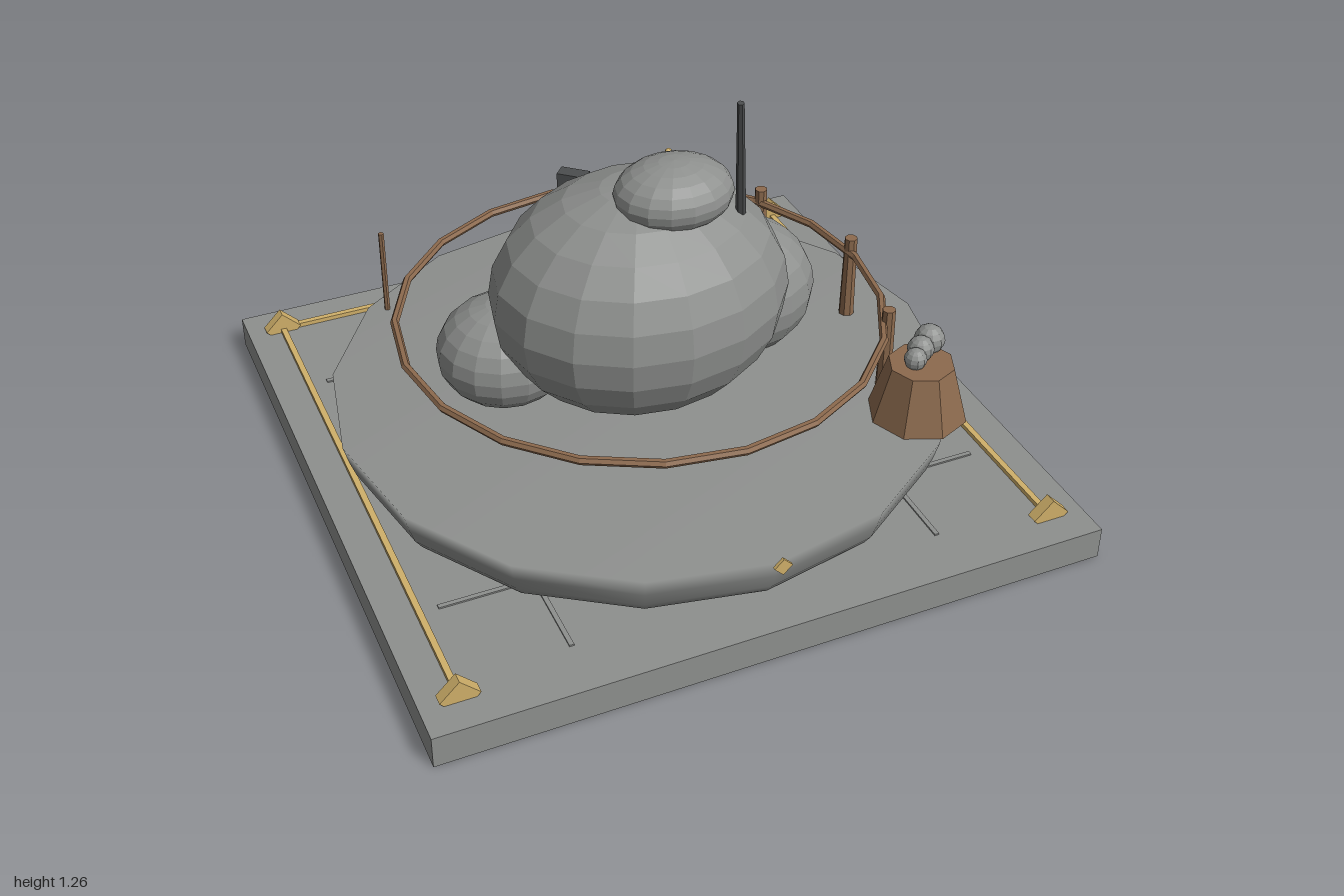
import * as THREE from 'three';

const mat = (name, color, flatShading = false) => {
  const m = new THREE.MeshStandardMaterial({ color, flatShading });
  m.name = name;
  return m;
};

export function createModel() {
  const stone = mat('stone grey', 0x8e908e);
  const rock = mat('faceted stone grey', 0x8e908e, true);
  const dark = mat('dark metal', 0x4c4e4f, true);
  const wood = mat('brown wood', 0x8c6a4e, true);
  const gold = mat('gold trim', 0xd0b06a, true);

  const model = new THREE.Group();
  model.name = 'stoneGarden';

  const add = (name, geometry, material, x = 0, y = 0, z = 0) => {
    const mesh = new THREE.Mesh(geometry, material);
    mesh.name = name;
    mesh.position.set(x, y, z);
    model.add(mesh);
    return mesh;
  };
  const blob = (name, [x, y, z], [rx, ry, rz], w = 16, h = 12) =>
    add(name, new THREE.SphereGeometry(1, w, h).scale(rx, ry, rz), rock, x, y, z);
  // Places a geometry built along y between two points
  const between = (name, a, b, makeGeometry, material) => {
    const p = new THREE.Vector3(...a), q = new THREE.Vector3(...b);
    const mesh = add(name, makeGeometry(p.distanceTo(q)), material);
    mesh.position.copy(p).add(q).multiplyScalar(0.5);
    mesh.quaternion.setFromUnitVectors(new THREE.Vector3(0, 1, 0), q.sub(p).normalize());
    return mesh;
  };

  // Square base with thin dark grooves
  add('base', new THREE.BoxGeometry(2, 0.1, 2), stone, 0, 0.05, 0);
  for (const s of [-1, 1]) {
    add('grooveAlongZ', new THREE.BoxGeometry(0.014, 0.006, 1.67), rock, s * 0.556, 0.102, 0);
    add('grooveAlongX', new THREE.BoxGeometry(1.67, 0.006, 0.014), rock, 0, 0.102, s * 0.556);
  }

  // Gold edge strips and diamond-shaped corner blocks
  for (const s of [-1, 1]) {
    add('sideStrip', new THREE.BoxGeometry(0.018, 0.014, 1.78), gold, s * 0.89, 0.107, 0);
    for (const t of [-1, 1]) {
      const corner = add('cornerBlock', new THREE.BoxGeometry(0.08, 0.08, 0.034), gold, s * 0.89, 0.112, t * 0.89);
      corner.rotation.z = Math.PI / 4;
    }
  }
  add('backStrip', new THREE.BoxGeometry(1.78, 0.014, 0.018), gold, 0, 0.107, -0.89);

  // Round dish with a flat top and curved underside
  const dishProfile = [[0, 0.11], [0.82, 0.11], [0.872, 0.125], [0.895, 0.16], [0.912, 0.21], [0.928, 0.27], [0, 0.27]];
  add('dish', new THREE.LatheGeometry(dishProfile.map(p => new THREE.Vector2(...p)), 16), stone);

  // Boulders
  blob('mainBoulder', [-0.025, 0.615, 0.05], [0.445, 0.355, 0.385]);
  blob('topBoulder', [0.048, 0.965, 0.125], [0.175, 0.1, 0.147]);
  blob('rightBoulder', [-0.39, 0.405, -0.1], [0.207, 0.165, 0.197]);
  blob('leftBoulder', [0.365, 0.42, -0.125], [0.255, 0.22, 0.235]);

  // Tapered rod leaning out of the top
  between('rod', [0.24, 0.87, 0.162], [0.197, 1.262, 0.226],
    l => new THREE.CylinderGeometry(0.01, 0.015, l, 6), dark);

  // Railing ring and its posts
  add('railing', new THREE.TorusGeometry(0.722, 0.013, 6, 20).rotateX(Math.PI / 2), wood, 0, 0.5, 0);
  for (const [x, z] of [[0.3, -0.66], [0.6, -0.41], [0.725, -0.037], [0.64, 0.35]]) {
    add('post', new THREE.CylinderGeometry(0.02, 0.024, 0.28, 8), wood, x, 0.407, z);
  }
  add('thinPost', new THREE.CylinderGeometry(0.009, 0.009, 0.45, 6), wood, -0.602, 0.327, -0.627);

  // Tub filled with pebbles
  add('tub', new THREE.CylinderGeometry(0.098, 0.148, 0.175, 8), wood, 0.673, 0.357, 0.495);
  for (const [x, y, z, r] of [[0.648, 0.467, 0.5, 0.034], [0.685, 0.47, 0.465, 0.04], [0.732, 0.472, 0.435, 0.046]]) {
    blob('pebble', [x, y, z], [r, r, r], 10, 8);
  }

  // Slats and block on the back of the main boulder
  for (const [a, b] of [
    [[0.155, 0.62, -0.31], [0.05, 0.53, -0.44]],
    [[0.07, 0.56, -0.32], [0, 0.47, -0.44]],
    [[-0.01, 0.55, -0.33], [-0.052, 0.43, -0.445]],
  ]) between('backSlat', a, b, l => new THREE.BoxGeometry(0.03, l, 0.018), dark);
  add('backBlock', new THREE.BoxGeometry(0.045, 0.048, 0.09), dark, -0.075, 0.785, -0.33).rotation.y = 0.85;

  // Small gold ornaments
  add('goldBead', new THREE.SphereGeometry(0.011, 8, 6), gold, 0.2, 0.86, -0.25);
  add('goldBead', new THREE.SphereGeometry(0.011, 8, 6), gold, -0.155, 0.76, -0.31);
  add('frontDiamond', new THREE.BoxGeometry(0.038, 0.038, 0.01), gold, 0, 0.281, 0.953).rotation.z = Math.PI / 4;

  return model;
}
